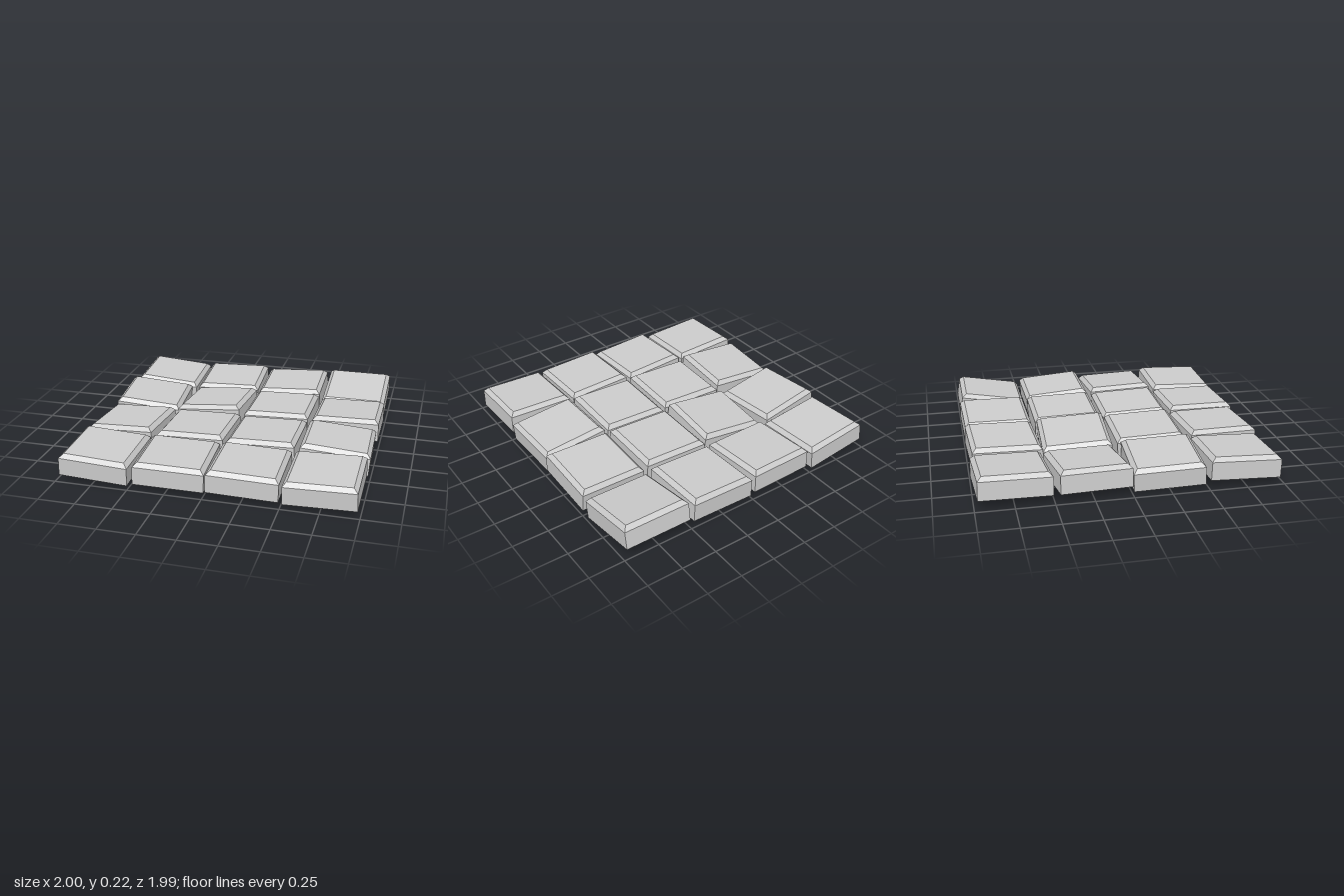
import * as THREE from 'three';

const HALF = 0.235, HEIGHT = 0.15, BEVEL = 0.028;

// Each stone: [centre x, centre z, pitch (back up), yaw, roll (left side up)]
const STONES = [
  [-0.74, -0.75, 0.03, 0.035, -0.09],
  [-0.24, -0.75, 0.04, 0.045, 0.02],
  [0.25, -0.76, 0.02, 0.025, 0.05],
  [0.745, -0.755, 0.17, 0, 0],
  [-0.74, -0.255, 0.02, 0.09, -0.1],
  [-0.235, -0.255, -0.05, -0.045, 0.1],
  [0.255, -0.255, -0.02, 0, 0.03],
  [0.755, -0.255, -0.07, 0.01, 0.02],
  [-0.73, 0.25, -0.04, -0.045, 0.06],
  [-0.235, 0.245, -0.03, -0.01, 0.03],
  [0.255, 0.245, -0.03, 0, 0.03],
  [0.75, 0.24, -0.02, 0.03, -0.08],
  [-0.74, 0.745, 0.04, 0, -0.05],
  [-0.24, 0.745, 0.01, 0.05, -0.03],
  [0.25, 0.742, 0.01, 0.02, -0.03],
  [0.745, 0.745, 0.04, 0, 0.03],
];

// Square shell with a bevelled top and an open underside
function stoneGeometry() {
  const top = HEIGHT / 2;
  const profile = [
    [HALF, -top], [HALF, top - BEVEL], [HALF - BEVEL, top], [0, top],
  ].map(([r, y]) => new THREE.Vector2(r * Math.SQRT2, y));
  return new THREE.LatheGeometry(profile, 4).rotateY(Math.PI / 4);
}

export function createModel() {
  const model = new THREE.Group();
  model.name = 'pavingStones';
  const geometry = stoneGeometry();
  const material = new THREE.MeshStandardMaterial({
    color: 0xcccccc, flatShading: true, side: THREE.DoubleSide,
  });

  // Four rows of four loosely laid stones
  STONES.forEach(([x, z, pitch, yaw, roll], i) => {
    const stone = new THREE.Mesh(geometry, material);
    stone.name = `stoneRow${Math.floor(i / 4) + 1}Column${(i % 4) + 1}`;
    stone.position.set(x, 0.112, z);
    stone.rotation.set(pitch, yaw, roll, 'YXZ');
    model.add(stone);
  });

  // Rest the lowest corner on the ground
  const low = new THREE.Box3().setFromObject(model, true).min.y;
  model.children.forEach((stone) => { stone.position.y -= low; });
  return model;
}
